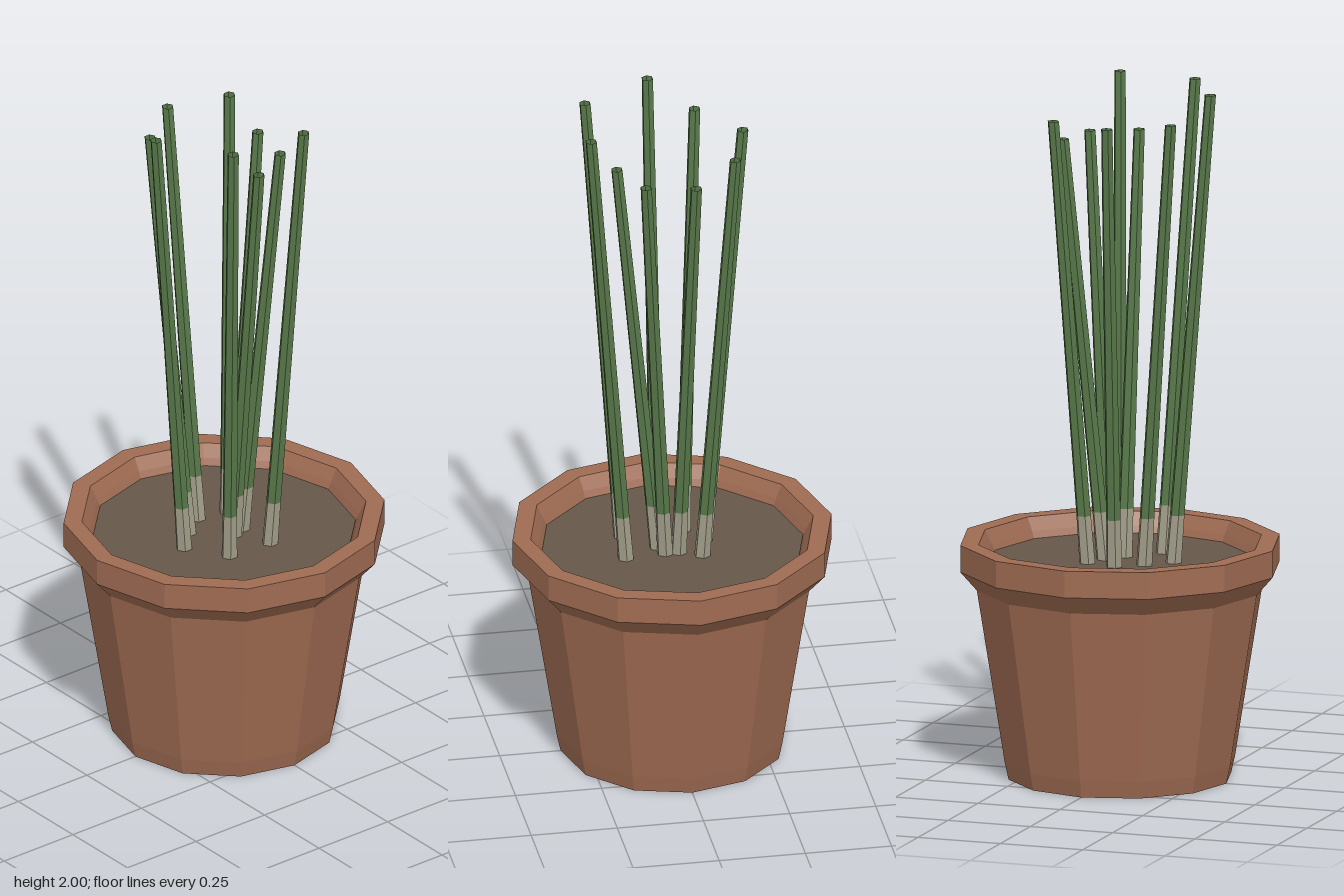
import * as THREE from 'three';

const SIDES = 12;
const SOIL_Y = 0.63;   // soil level
const BAND_Y = 0.77;   // where pale stem bases turn green

// Faceted normals, one per face
function faceted(geometry) {
  const g = geometry.toNonIndexed();
  g.computeVertexNormals();
  return g;
}

function addMesh(parent, name, geometry, material) {
  const mesh = new THREE.Mesh(faceted(geometry), material);
  mesh.name = name;
  parent.add(mesh);
  return mesh;
}

// Open tapered tube with level ends, sheared from point a to point b
function leaningTube(a, b, rA, rB) {
  const h = b.y - a.y;
  const g = new THREE.CylinderGeometry(rB, rA, h, 6, 1, true);
  g.translate(0, h / 2, 0);
  const p = g.attributes.position;
  for (let i = 0; i < p.count; i++) {
    const t = p.getY(i) / h;
    p.setXYZ(i,
      p.getX(i) + a.x + (b.x - a.x) * t,
      p.getY(i) + a.y,
      p.getZ(i) + a.z + (b.z - a.z) * t);
  }
  return g;
}

export function createModel() {
  const model = new THREE.Group();
  model.name = 'pottedStems';

  const terracotta = new THREE.MeshStandardMaterial({ name: 'terracotta', color: 0x9f6b52 });
  const soilBrown = new THREE.MeshStandardMaterial({ name: 'soilBrown', color: 0x665849 });
  const stemGreen = new THREE.MeshStandardMaterial({ name: 'stemGreen', color: 0x58794a, side: THREE.DoubleSide });
  const paleBase = new THREE.MeshStandardMaterial({ name: 'paleBase', color: 0xa39f8a, side: THREE.DoubleSide });

  // Pot: base, tapered wall, flared rim and inner wall
  const profile = [
    [0, 0], [0.323, 0], [0.334, 0.05], [0.415, 0.555], [0.463, 0.61],
    [0.463, 0.688], [0.41, 0.688], [0.39, 0.65], [0.373, SOIL_Y - 0.02],
  ].map(([r, y]) => new THREE.Vector2(r, y));
  addMesh(model, 'pot', new THREE.LatheGeometry(profile, SIDES), terracotta);

  // Soil disc
  const soil = new THREE.CircleGeometry(0.38, SIDES);
  soil.rotateX(-Math.PI / 2);
  soil.translate(0, SOIL_Y, 0);
  addMesh(model, 'soil', soil, soilBrown);

  // Stems: base x, base z, top x, top z, height
  const stems = [
    [-0.075, -0.072, -0.158, -0.145, 1.93],
    [-0.012, -0.043, -0.042, -0.157, 1.855],
    [0.028, -0.043, 0.098, -0.127, 1.855],
    [0.144, -0.054, 0.251, -0.091, 2],
    [0.043, -0.002, 0.16, 0, 1.855],
    [0.132, 0.085, 0.226, 0.146, 2],
    [0.015, 0.157, 0.023, 0.266, 2],
    [-0.048, 0.091, -0.1, 0.19, 1.93],
    [-0.098, 0.018, -0.212, 0.037, 1.93],
  ];
  for (const [bx, bz, tx, tz, height] of stems) {
    const stem = new THREE.Group();
    stem.name = 'stem';
    const base = new THREE.Vector3(bx, SOIL_Y, bz);
    const top = new THREE.Vector3(tx, height, tz);
    const band = base.clone().lerp(top, (BAND_Y - SOIL_Y) / (height - SOIL_Y));
    addMesh(stem, 'stemBase', leaningTube(base, band, 0.024, 0.022), paleBase);
    addMesh(stem, 'stemStalk', leaningTube(band, top, 0.022, 0.017), stemGreen);
    model.add(stem);
  }
  return model;
}
